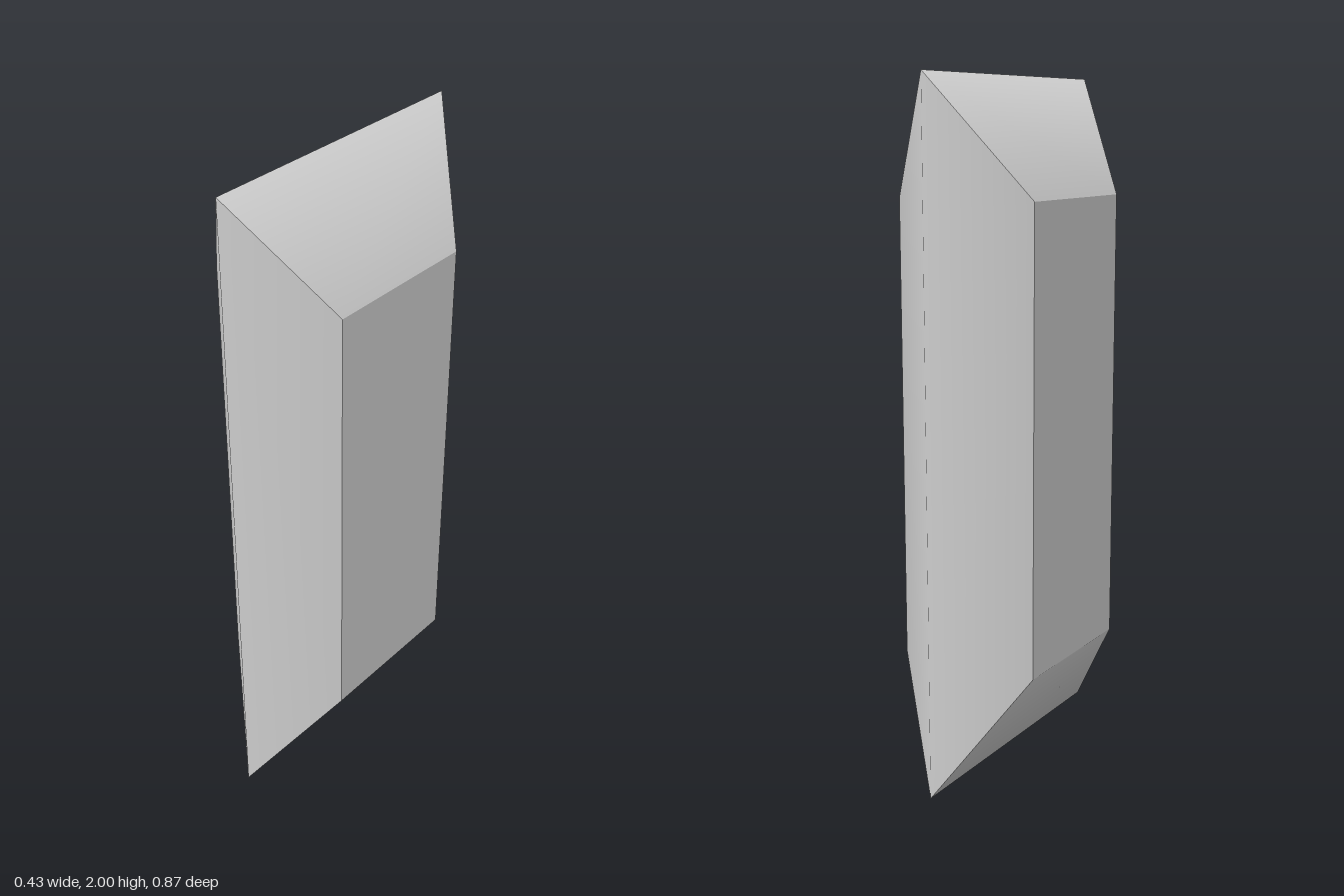
import * as THREE from 'three';

// Half sizes: outer rim in the x = 0 plane, flat panels at x = +-DEPTH
const DEPTH = 0.217;
const RIM = { y: 1, z: 0.437 };
const PANEL = { y: 0.667, z: 0.237 };

// Corners in counter-clockwise order as seen from +x
const CORNERS = [[1, -1], [1, 1], [-1, 1], [-1, -1]];
const BEVEL_NAMES = ['topBevel', 'frontBevel', 'bottomBevel', 'backBevel'];

const corner = (i, size, x) => {
  const [sy, sz] = CORNERS[i % 4];
  return [x, 1 + sy * size.y, sz * size.z];
};

export function createModel() {
  const group = new THREE.Group();
  group.name = 'bevelledCrystalBar';
  const material = new THREE.MeshStandardMaterial({ color: 0xcccccc });

  const addMesh = (name, points, index) => {
    const geometry = new THREE.BufferGeometry();
    geometry.setAttribute('position', new THREE.Float32BufferAttribute(points.flat(), 3));
    geometry.setIndex(index);
    geometry.computeVertexNormals();
    const mesh = new THREE.Mesh(geometry, material);
    mesh.name = name;
    group.add(mesh);
  };

  // Flat panels on both sides
  const panel = (x) => [0, 1, 2, 3].map((i) => corner(i, PANEL, x));
  addMesh('leftPanel', panel(DEPTH), [0, 1, 2, 0, 2, 3]);
  addMesh('rightPanel', panel(-DEPTH), [0, 2, 1, 0, 3, 2]);

  // Bevels: two slopes sharing the rim vertices, so shading runs smoothly over the rim
  BEVEL_NAMES.forEach((name, i) => {
    const points = [];
    for (const j of [i, i + 1]) {
      points.push(corner(j, PANEL, DEPTH), corner(j, RIM, 0), corner(j, PANEL, -DEPTH));
    }
    addMesh(name, points, [1, 4, 3, 1, 3, 0, 1, 5, 4, 1, 2, 5]);
  });

  return group;
}
